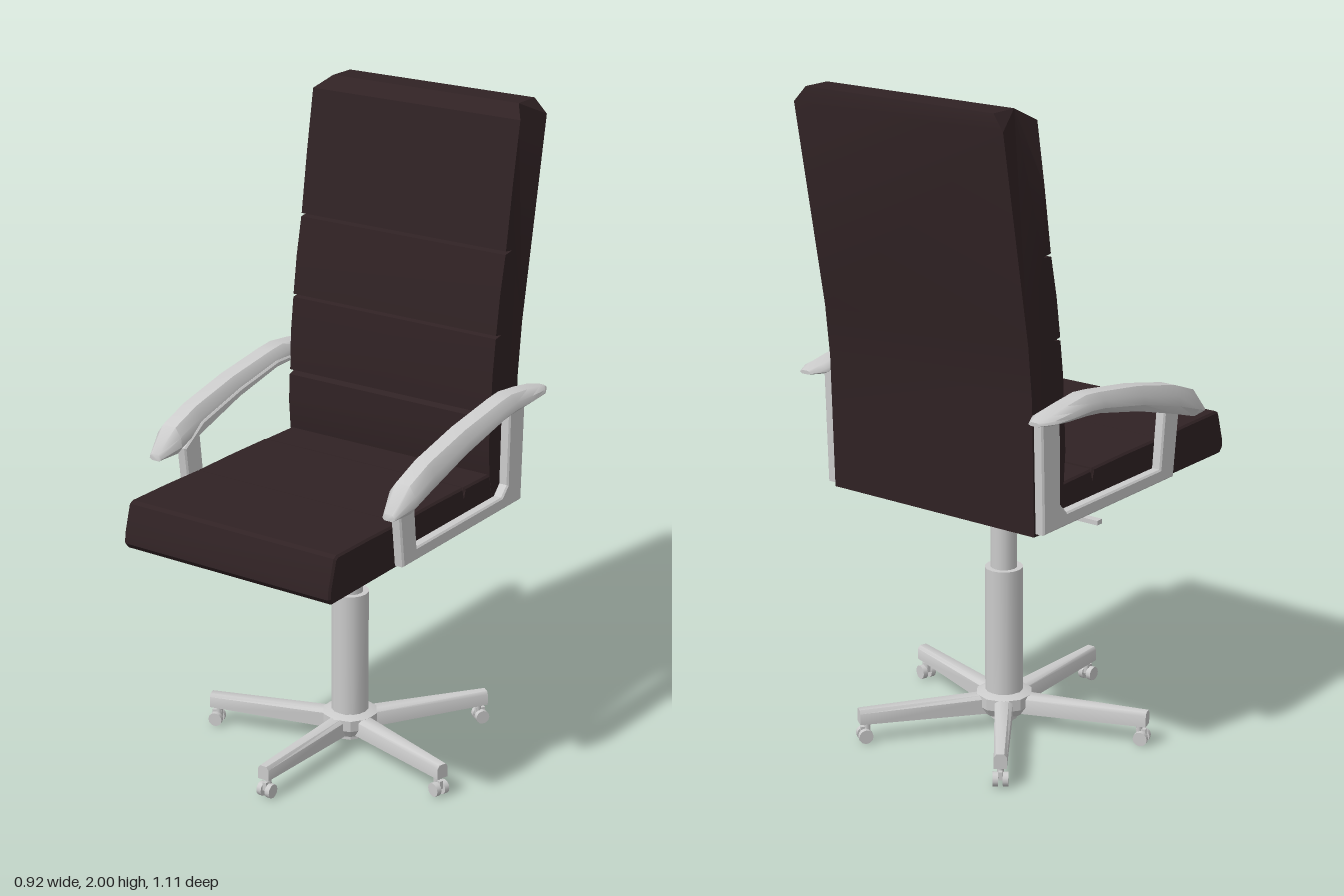
import * as THREE from 'three';
import { toCreasedNormals } from 'three/addons/utils/BufferGeometryUtils.js';

const metal = new THREE.MeshStandardMaterial({ color: 0xcccccc });
const leather = new THREE.MeshStandardMaterial({ color: 0x302224 });
const COLUMN_Z = -0.075;

function add(parent, name, geometry, material = metal) {
  const mesh = new THREE.Mesh(geometry, material);
  mesh.name = name;
  parent.add(mesh);
  return mesh;
}

const points = (list) => list.map(([a, b]) => new THREE.Vector2(a, b));

// Side outline in (z, y), extruded across x and centred
function extrudeAcross(outline, width, hole, bevel = 0) {
  const shape = new THREE.Shape(points(outline));
  if (hole) shape.holes.push(new THREE.Path(points(hole)));
  const depth = width - 2 * bevel;
  const geometry = new THREE.ExtrudeGeometry(shape, {
    depth, bevelEnabled: bevel > 0, bevelSize: bevel, bevelThickness: bevel, bevelOffset: -bevel, bevelSegments: 1,
  });
  geometry.translate(0, 0, -depth / 2).rotateY(-Math.PI / 2);
  return geometry;
}

function lathe(profile, sides) {
  return toCreasedNormals(new THREE.LatheGeometry(points(profile), sides), 0.5);
}

// Closed skin over rings of equal point count
function loft(rings) {
  const n = rings[0].length, index = [], pos = rings.flat(2);
  for (let r = 0; r < rings.length - 1; r++) {
    for (let i = 0; i < n; i++) {
      const a = r * n + i, b = r * n + (i + 1) % n;
      index.push(a, b, a + n, b, b + n, a + n);
    }
  }
  const last = (rings.length - 1) * n;
  for (let i = 1; i < n - 1; i++) {
    index.push(0, i + 1, i, last, last + i, last + i + 1);
  }
  const geometry = new THREE.BufferGeometry();
  geometry.setAttribute('position', new THREE.Float32BufferAttribute(pos, 3));
  geometry.setIndex(index);
  return toCreasedNormals(geometry, 0.8);
}

function makeCaster() {
  const caster = new THREE.Group();
  caster.name = 'caster';
  add(caster, 'casterStem', new THREE.CylinderGeometry(0.01, 0.01, 0.045, 8)).position.y = 0.05;
  add(caster, 'casterHood', new THREE.BoxGeometry(0.012, 0.026, 0.03)).position.set(0, 0.036, 0.006);
  for (const side of [-1, 1]) {
    const wheel = add(caster, 'casterWheel', new THREE.CylinderGeometry(0.022, 0.022, 0.016, 12).rotateZ(Math.PI / 2));
    wheel.position.set(side * 0.015, 0.022, 0.008);
  }
  return caster;
}

function makeBase() {
  const base = new THREE.Group();
  base.name = 'base';
  base.position.z = COLUMN_Z;
  add(base, 'baseHub', lathe([[0, 0.025], [0.04, 0.025], [0.04, 0.045], [0.07, 0.05], [0.087, 0.075], [0.087, 0.11], [0.058, 0.12], [0, 0.12]], 10));
  add(base, 'lowerColumn', new THREE.CylinderGeometry(0.058, 0.058, 0.405, 16)).position.y = 0.3125;
  add(base, 'upperColumn', new THREE.CylinderGeometry(0.04, 0.04, 0.24, 16)).position.y = 0.63;
  add(base, 'seatPlate', lathe([[0, 0.733], [0.09, 0.733], [0.127, 0.752], [0.127, 0.768], [0.1, 0.785], [0, 0.785]], 8));

  // Five tapered legs, one pointing forward
  for (let i = 0; i < 5; i++) {
    const leg = new THREE.Group();
    leg.name = 'baseLeg';
    leg.rotation.y = (i * 2 * Math.PI) / 5;
    const ring = (z, w, low, high) => [[-w, low, z], [w, low, z], [w, high - 0.01, z], [w * 0.6, high, z], [-w * 0.6, high, z], [-w, high - 0.01, z]];
    add(leg, 'legBar', loft([ring(0.04, 0.028, 0.052, 0.11), ring(0.455, 0.019, 0.062, 0.107)]));
    const caster = makeCaster();
    caster.position.z = 0.43;
    leg.add(caster);
    base.add(leg);
  }

  // Height lever with a flattened paddle
  const path = new THREE.CatmullRomCurve3([[-0.08, 0.757], [-0.14, 0.75], [-0.21, 0.731], [-0.27, 0.729]].map(([x, y]) => new THREE.Vector3(x, y, 0)));
  add(base, 'lever', new THREE.TubeGeometry(path, 12, 0.006, 6));
  add(base, 'leverPaddle', new THREE.BoxGeometry(0.09, 0.014, 0.024)).position.set(-0.305, 0.73, 0);
  return base;
}

function makeArmrest() {
  const arm = new THREE.Group();
  arm.name = 'armrest';
  const frame = add(arm, 'armFrame', extrudeAcross(
    [[0.235, 0.795], [0.26, 1.0], [0.17, 1.06], [-0.02, 1.11], [-0.21, 1.145], [-0.42, 1.143], [-0.41, 0.795]],
    0.034,
    [[0.165, 0.835], [0.185, 1.02], [-0.02, 1.085], [-0.21, 1.125], [-0.335, 1.13], [-0.33, 0.865], [-0.3, 0.835]],
    0.005));
  frame.position.x = 0.381;

  // Pad sections: z, top, bottom, half width
  const sections = [
    [-0.48, 1.148, 1.137, 0.02], [-0.435, 1.158, 1.132, 0.043], [-0.36, 1.17, 1.125, 0.047], [-0.27, 1.18, 1.12, 0.047],
    [-0.21, 1.174, 1.113, 0.047], [-0.016, 1.145, 1.07, 0.047], [0.17, 1.103, 1.015, 0.047], [0.27, 1.065, 0.983, 0.047], [0.34, 0.997, 0.977, 0.021],
  ];
  const rings = sections.map(([z, top, low, w]) => {
    const h = top - low;
    return [[-w * 0.6, low], [w * 0.6, low], [w, low + h * 0.3], [w * 0.92, low + h * 0.65], [w * 0.5, top], [-w * 0.5, top], [-w * 0.92, low + h * 0.65], [-w, low + h * 0.3]]
      .map(([x, y]) => [0.415 + x, y, z]);
  });
  add(arm, 'armPad', loft(rings));
  return arm;
}

function makeSeat() {
  // Three shallow pads divided by narrow seams
  const outline = [
    [-0.412, 0.785], [0.54, 0.782], [0.556, 0.8], [0.553, 0.83], [0.528, 0.915], [0.515, 0.922], [0.36, 0.921],
    [0.209, 0.917], [0.205, 0.905], [0.201, 0.917], [0.03, 0.917],
    [-0.131, 0.914], [-0.135, 0.885], [-0.139, 0.912], [-0.24, 0.91], [-0.412, 0.905],
  ];
  return toCreasedNormals(extrudeAcross(outline, 0.73, null, 0.006), 0.4);
}

function makeBackrest() {
  // Front pads run up to the crown, then the rear shell comes down
  const outline = [
    [-0.414, 0.785], [-0.3, 0.785], [-0.275, 0.91], [-0.268, 1.0], [-0.272, 1.085], [-0.295, 1.092], [-0.275, 1.1],
    [-0.28, 1.22], [-0.294, 1.33], [-0.325, 1.335], [-0.295, 1.34], [-0.313, 1.46],
    [-0.338, 1.577], [-0.375, 1.582], [-0.34, 1.587], [-0.37, 1.78], [-0.403, 1.965],
    [-0.455, 2.0], [-0.545, 2.0], [-0.553, 1.955], [-0.442, 1.345], [-0.425, 1.19],
  ];
  const geometry = extrudeAcross(outline, 0.732);
  // Cut the upper corners by narrowing the crown
  const pos = geometry.attributes.position;
  for (let i = 0; i < pos.count; i++) {
    if (pos.getY(i) > 1.99) pos.setX(i, Math.sign(pos.getX(i)) * 0.328);
  }
  return toCreasedNormals(geometry, 0.4);
}

export function createModel() {
  const chair = new THREE.Group();
  chair.name = 'officeChair';
  chair.add(makeBase());
  add(chair, 'seat', makeSeat(), leather);
  add(chair, 'backrest', makeBackrest(), leather);

  // Matching armrests on both sides
  const left = makeArmrest();
  left.name = 'leftArmrest';
  const right = makeArmrest();
  right.name = 'rightArmrest';
  right.scale.x = -1;
  chair.add(left, right);
  return chair;
}
